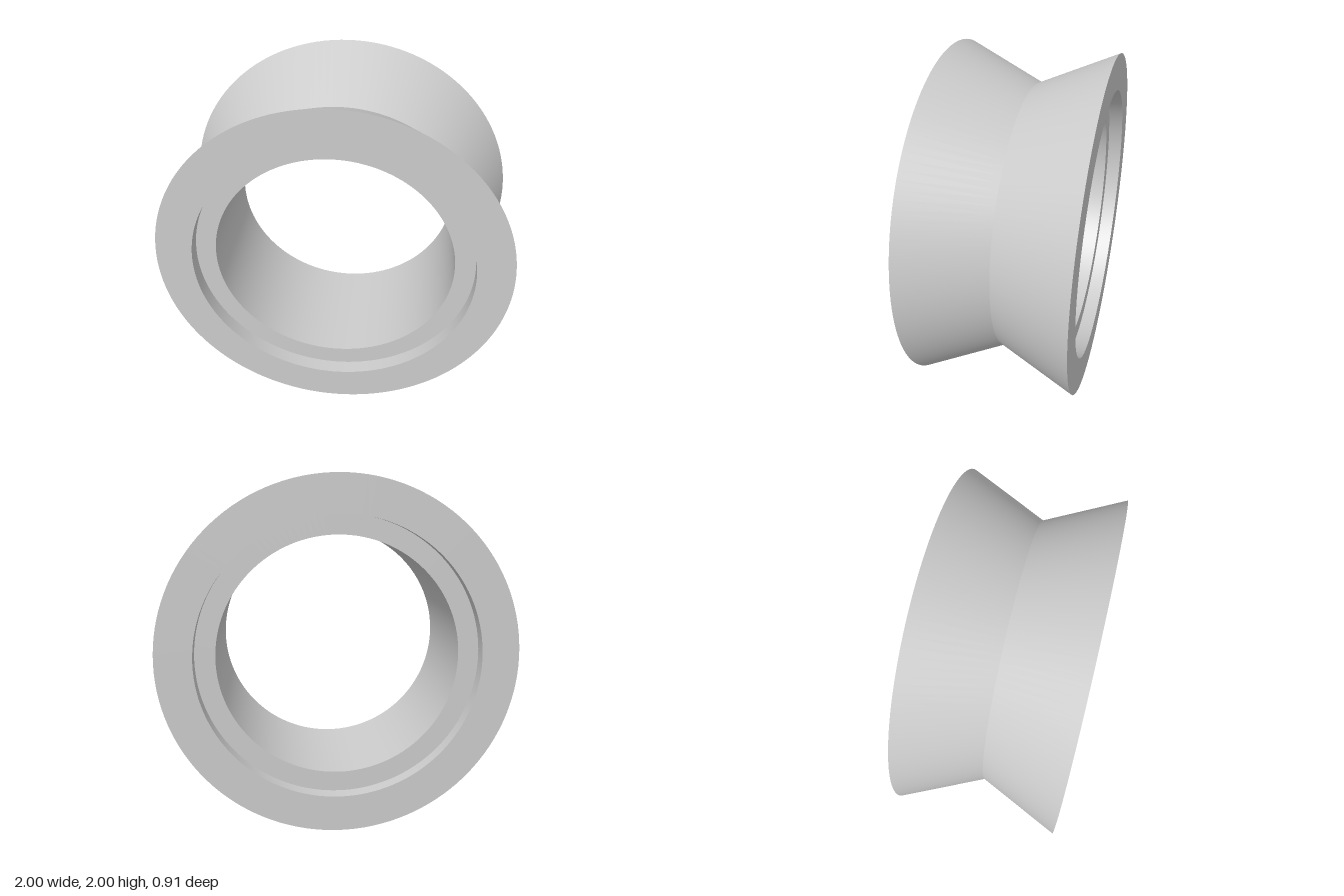
import * as THREE from 'three';
import { toCreasedNormals } from 'three/addons/utils/BufferGeometryUtils.js';

export function createModel() {
  const group = new THREE.Group();
  group.name = 'groovedRoller';

  const halfWidth = 0.453;
  const rimRadius = 1;
  const grooveRadius = 0.793;  // bottom of the outer V groove
  const recessRadius = 0.793;  // shallow seat in each end face
  const boreRadius = 0.678;
  const floor = halfWidth - 0.085; // height of the recess floor

  // Closed cross-section: up the outside, down through the bore
  const profile = [
    [rimRadius, -halfWidth],
    [grooveRadius, 0],
    [rimRadius, halfWidth],
    [recessRadius, halfWidth],
    [recessRadius, floor],
    [boreRadius, floor],
    [boreRadius, -floor],
    [recessRadius, -floor],
    [recessRadius, -halfWidth],
    [rimRadius, -halfWidth],
  ].map(([r, y]) => new THREE.Vector2(r, y));

  // Smooth around the axis, sharp at every profile corner
  const geometry = toCreasedNormals(new THREE.LatheGeometry(profile, 128), 0.4);
  geometry.rotateX(Math.PI / 2);

  const ring = new THREE.Mesh(geometry, new THREE.MeshStandardMaterial({ color: 0xcccccc }));
  ring.name = 'grooveRing';
  ring.position.y = rimRadius;
  group.add(ring);
  return group;
}
